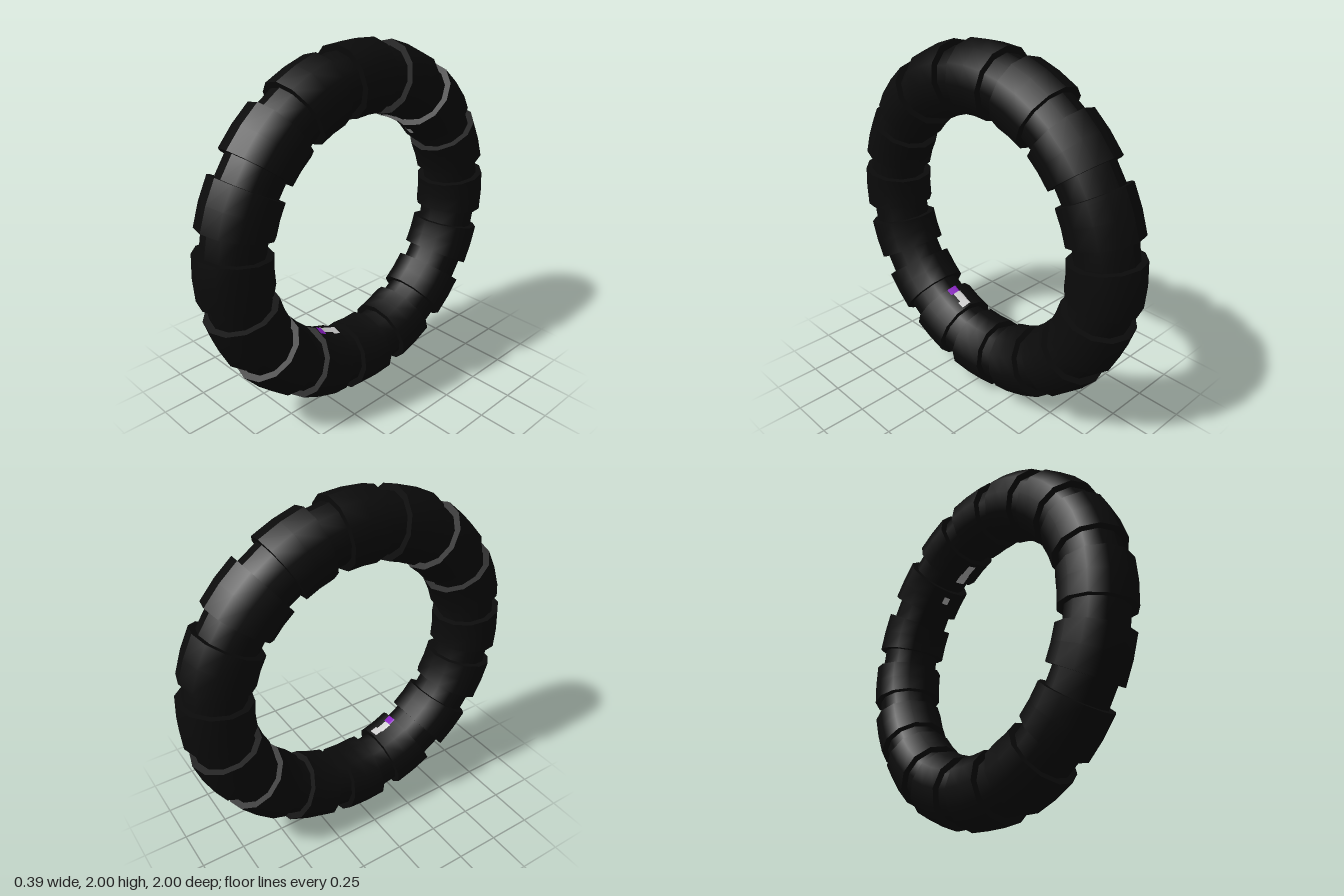
import * as THREE from 'three';
import { mergeGeometries } from 'three/addons/utils/BufferGeometryUtils.js';

const R = 0.805;                      // ring radius to the tube centre
const rad = THREE.MathUtils.degToRad;

// Closed 12-sided cross-section of the tube
function tubeProfile(r) {
  return Array.from({ length: 13 }, (_, i) => {
    const t = (i / 12) * Math.PI * 2;
    return new THREE.Vector2(R + r * Math.cos(t), r * Math.sin(t));
  });
}

// Sweep a cross-section around the ring; 0 degrees is the front, 90 the bottom
function sweep(profile, from, to, steps) {
  return new THREE.LatheGeometry(profile, steps, rad(from), rad(to - from));
}

function endCap(r, angle, side) {
  return new THREE.CircleGeometry(r, 12)
    .rotateY(side * Math.PI / 2)
    .translate(0, 0, R)
    .rotateY(rad(angle));
}

export function createModel() {
  const black = new THREE.MeshStandardMaterial({ color: 0x0b0b0b });
  black.name = 'black';
  const lightGrey = new THREE.MeshStandardMaterial({ color: 0xd0d0d0 });
  lightGrey.name = 'lightGrey';
  const purple = new THREE.MeshStandardMaterial({ color: 0x8a1fc4 });
  purple.name = 'purple';

  const model = new THREE.Group();
  model.name = 'segmentedRing';
  const add = (name, geometry, material) => {
    // Turn the ring axis to x and stand it on the ground
    const mesh = new THREE.Mesh(geometry.rotateZ(-Math.PI / 2).translate(0, 1, 0), material);
    mesh.name = name;
    model.add(mesh);
  };

  // Narrow inner tube, seen in the gaps
  add('coreTube', sweep(tubeProfile(0.16), 0, 360, 48), black);

  // Sixteen thicker sleeves
  for (let i = 0; i < 16; i++) {
    const a = i * 22.5, r = 0.195;
    add('sleeve' + (i + 1), mergeGeometries([
      sweep(tubeProfile(r), a - 7.5, a + 7.5, 2),
      endCap(r, a + 7.5, 1),
      endCap(r, a - 7.5, -1),
    ]), black);
  }

  // Small inlays along the inner ridge: [from, to, x of centre, half width, material]
  const inlays = [
    [60, 64, 0.02, 0.03, purple],
    [64, 70, 0.01, 0.025, lightGrey],
    [70, 74, 0.02, 0.03, lightGrey],
    [240, 246, 0.02, 0.03, lightGrey],
    [246, 253, 0.02, 0.025, lightGrey],
    [225, 229, 0.0, 0.02, lightGrey],
  ];
  const ridge = x => new THREE.Vector2(0.606 + Math.abs(x) * 0.268, x);
  for (const [from, to, x, w, material] of inlays) {
    add('innerInlay', sweep([ridge(x + w), ridge(0), ridge(x - w)], from, to, 2), material);
  }
  return model;
}
